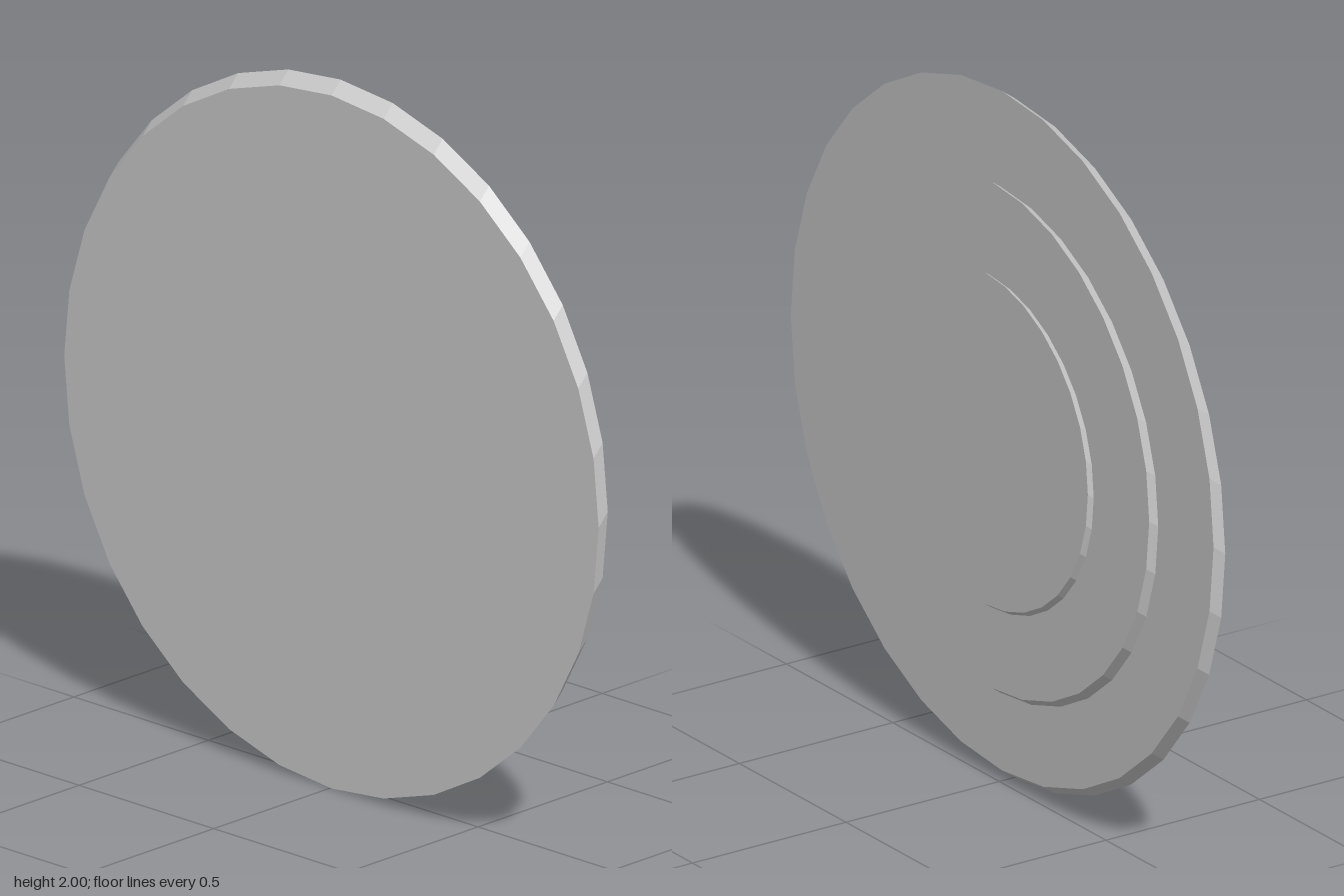
import * as THREE from 'three';

// Slant of the rims: offset in y and z per unit of x
const SLANT_Y = 0.72, SLANT_Z = -0.19;

// Flat disc facing +x, slightly oval, with its rim slanted along the axis
function slantedDisc(name, x0, x1, ry, rz, material) {
  const geo = new THREE.CylinderGeometry(1, 1, x1 - x0, 32);
  geo.rotateZ(-Math.PI / 2).scale(1, ry, rz);
  const shear = new THREE.Matrix4().set(
    1, 0, 0, 0,
    SLANT_Y, 1, 0, 0,
    SLANT_Z, 0, 1, 0,
    0, 0, 0, 1);
  geo.applyMatrix4(shear);
  geo.computeVertexNormals();
  const mesh = new THREE.Mesh(geo, material);
  mesh.name = name;
  mesh.position.set((x0 + x1) / 2, 1, 0);
  return mesh;
}

export function createModel() {
  const group = new THREE.Group();
  group.name = 'steppedDisc';
  const material = new THREE.MeshStandardMaterial({ color: 0xcccccc, flatShading: true });

  // Three tiers stacked towards +x
  group.add(
    slantedDisc('baseDisc', -0.05, -0.006, 0.984, 0.992, material),
    slantedDisc('middleDisc', -0.006, 0.028, 0.733, 0.74, material),
    slantedDisc('topDisc', 0.028, 0.05, 0.48, 0.485, material));
  return group;
}
